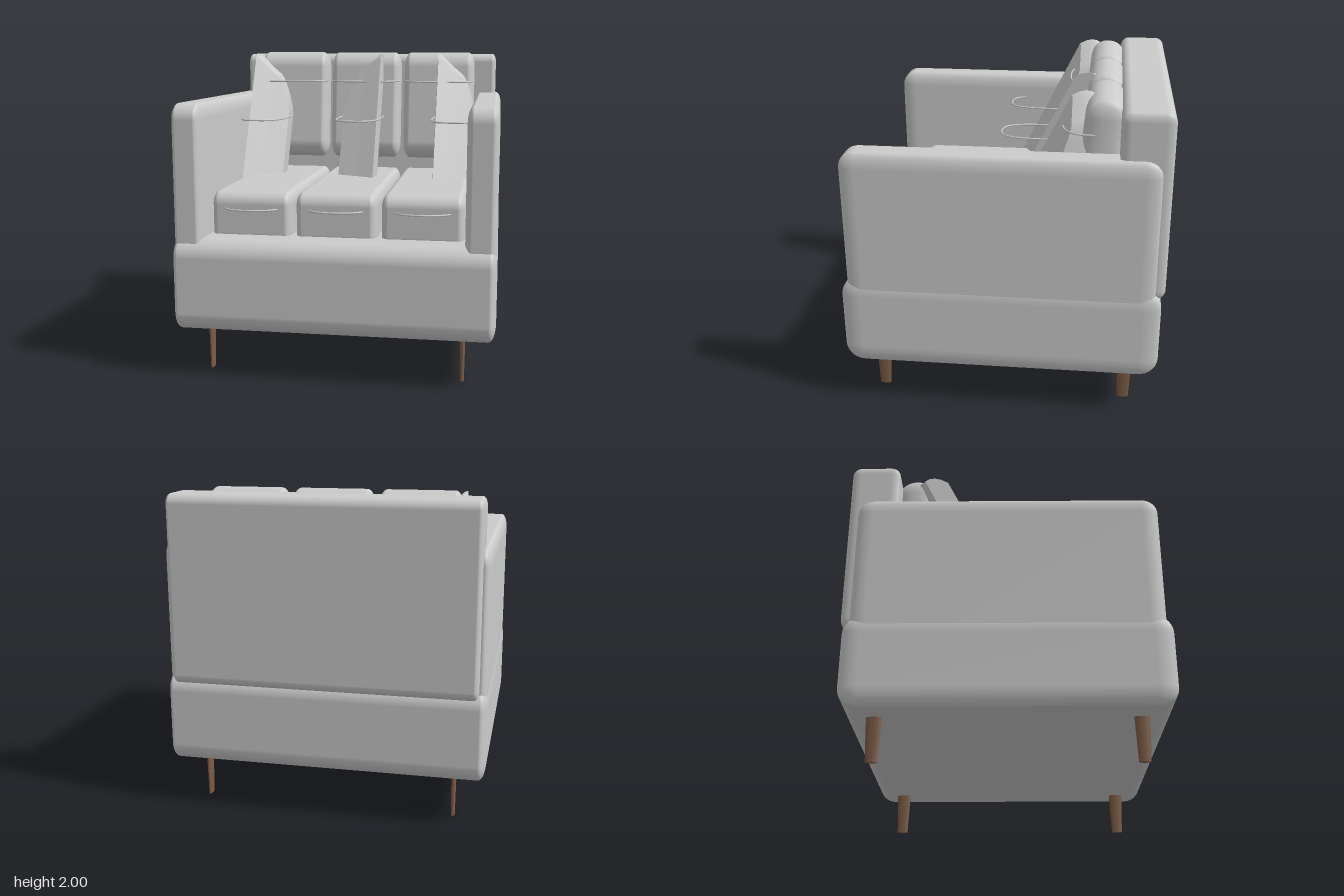
import * as THREE from 'three';
import { RoundedBoxGeometry } from 'three/addons/geometries/RoundedBoxGeometry.js';
import { toCreasedNormals } from 'three/addons/utils/BufferGeometryUtils.js';

const fabric = new THREE.MeshStandardMaterial({ color: 0xcccccc });
const wood = new THREE.MeshStandardMaterial({ color: 0x7d5c44 });

export function createModel() {
  const model = new THREE.Group();

  const add = (name, geometry, x, y, z, material = fabric) => {
    const mesh = new THREE.Mesh(geometry, material);
    mesh.name = name;
    mesh.position.set(x, y, z);
    model.add(mesh);
    return mesh;
  };

  // Box whose rounding is tighter across x (rx) than along y and z (r)
  const softBox = (w, h, d, r, rx) => {
    const k = rx / r;
    return new RoundedBoxGeometry(w / k, h, d, 5, r).scale(k, 1, 1);
  };

  // Thin horizontal piping loop, a rounded rectangle in plan
  const piping = (halfX, halfZ) => {
    const points = [];
    for (let i = 0; i < 24; i++) {
      const a = (i / 24) * Math.PI * 2;
      const c = Math.cos(a), s = Math.sin(a);
      points.push(new THREE.Vector3(
        Math.sign(c) * Math.abs(c) ** (2 / 3) * halfX, 0,
        Math.sign(s) * Math.abs(s) ** (2 / 3) * halfZ));
    }
    const curve = new THREE.CatmullRomCurve3(points, true);
    return new THREE.TubeGeometry(curve, 64, 0.006, 6, true);
  };

  // Leaning scatter pillow, turned and taller towards one side (side = 1 or -1)
  const pillow = (side) => {
    const geometry = new THREE.BoxGeometry(2, 1, 1, 12, 8, 4);
    const p = geometry.attributes.position;
    const bottom = 1.08;
    for (let i = 0; i < p.count; i++) {
      const u = p.getX(i) * side;
      const v = p.getY(i) + 0.5;
      const w = 0.5 - p.getZ(i);
      // Top edge slopes down, then rounds off at the low side
      const top = u > -0.3
        ? 1.99 - 0.14 * (0.9 - Math.min(u, 0.9)) / 1.2
        : 1.85 - 0.25 * ((-0.3 - u) / 0.7) ** 1.6;
      const round = 0.03 * (2 * w - 1) ** 2;
      const y = bottom + (top - round - bottom) * v;
      const depth = 0.2 - 0.05 * u ** 4;
      const x = side * (0.137 * u - 0.012 * (1 - w) * Math.max(u, 0));
      p.setXYZ(i, x, y, -0.04 + 0.06 * u - 0.5 * (y - 1.14) - depth * w);
    }
    return toCreasedNormals(geometry, 0.6);
  };

  // Frame
  add('base', softBox(2, 0.59, 1.98, 0.12, 0.045), 0, 0.575, 0.01);
  for (const s of [-1, 1]) {
    add(s > 0 ? 'leftArm' : 'rightArm', softBox(0.19, 1.38, 1.9, 0.1, 0.04), s * 0.9, 1.01, 0.01);
  }
  add('backrest', softBox(1.9, 1.18, 0.31, 0.06, 0.03), 0, 1.395, -0.845);

  // Seat and back cushions with piping
  for (const x of [-0.54, 0, 0.54]) {
    add('seatCushion', softBox(0.515, 0.34, 1.4, 0.08, 0.045), x, 0.97, 0.08);
    add('seatPiping', piping(0.268, 0.75), x, 1.035, 0.1);
    const cushion = add('backCushion', softBox(0.515, 0.78, 0.24, 0.115, 0.05), x, 1.61, -0.57);
    cushion.rotation.x = -0.1;
    add('backPiping', piping(0.25, 0.22), x, 1.79, -0.56);
  }

  // Scatter pillows with piping
  for (const [x, side] of [[-0.68, -1], [0, 1], [0.67, -1]]) {
    add('pillow', pillow(side), x, 0, 0);
    add('pillowPiping', piping(0.152, 0.33), x, 1.535, -0.23);
  }

  // Flattened tapering legs
  for (const x of [-0.8, 0.8]) {
    for (const z of [-0.78, 0.8]) {
      const leg = new THREE.CylinderGeometry(0.048, 0.036, 0.3, 16).scale(0.33, 1, 1);
      add('leg', leg, x, 0.15, z, wood);
    }
  }
  return model;
}
